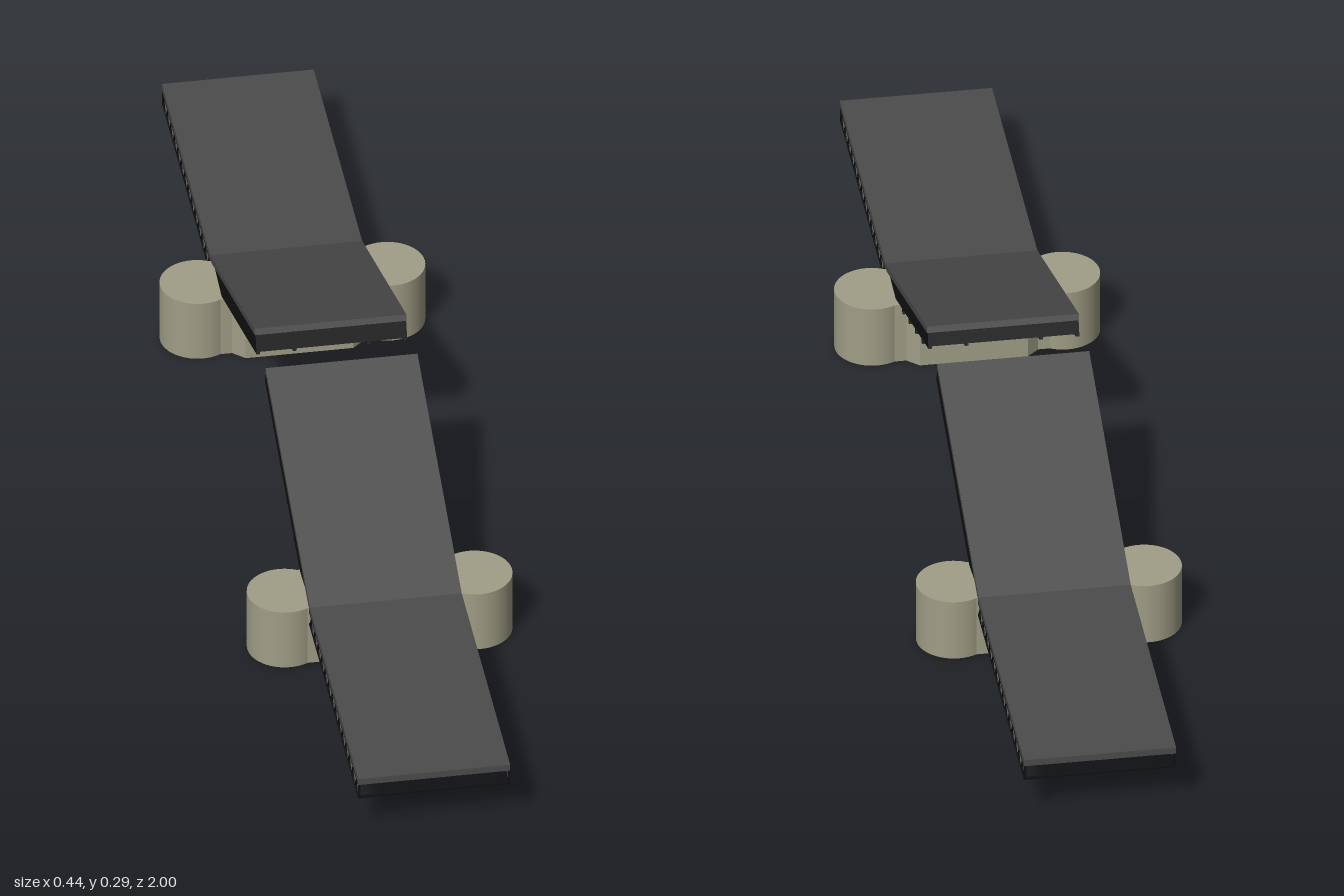
import * as THREE from 'three';

const mat = (color) => new THREE.MeshStandardMaterial({ color });
const stone = mat(0xa09e86), asphalt = mat(0x4c4c4c), steel = mat(0x111111);

const HALF = 0.127;      // half road width
const ROAD_Y = 0.117;    // road surface height
const HINGE_Z = 0.507;
const TILT = THREE.MathUtils.degToRad(20.5);
const LEAF = 0.481;      // length of a raised leaf

function add(parent, name, geometry, material) {
  const mesh = new THREE.Mesh(geometry, material);
  mesh.name = name;
  parent.add(mesh);
  return mesh;
}

function box(parent, name, material, size, pos) {
  const mesh = add(parent, name, new THREE.BoxGeometry(...size), material);
  mesh.position.set(...pos);
  return mesh;
}

// Square bar between two points
function bar(parent, name, a, b, t) {
  const from = new THREE.Vector3(...a), to = new THREE.Vector3(...b);
  const mesh = add(parent, name, new THREE.BoxGeometry(t, t, from.distanceTo(to)), steel);
  mesh.position.copy(from).add(to).multiplyScalar(0.5);
  mesh.lookAt(to);
  return mesh;
}

// Stone pier: stepped middle block between two round ends
function pier() {
  const g = new THREE.Group();
  g.name = 'pier';
  const h = 0.111;
  const half = [[0.135, 0.055], [0.11, 0.055], [0.09, 0.073]];
  const mirrored = half.map(([x, z]) => [-x, z]).reverse();
  const top = [...half, ...mirrored];
  const outline = [...top, ...top.map(([x, z]) => [-x, -z])];
  const shape = new THREE.Shape(outline.map((p) => new THREE.Vector2(...p)));
  const block = new THREE.ExtrudeGeometry(shape, { depth: h, bevelEnabled: false });
  add(g, 'pierBlock', block.rotateX(-Math.PI / 2), stone);
  for (const s of [-1, 1]) {
    const end = add(g, 'pierRoundEnd', new THREE.CylinderGeometry(0.0625, 0.0625, h, 48), stone);
    end.position.set(s * 0.159, h / 2, 0);
  }
  g.position.z = 0.444;
  return g;
}

// Level approach span carried by a lattice truss on each side
function approach() {
  const g = new THREE.Group();
  g.name = 'approachSpan';
  const z0 = 0.5, z1 = 1, low = 0.079, high = 0.104, t = 0.004;
  box(g, 'approachRoad', asphalt, [HALF * 2, 0.012, z1 - z0], [0, ROAD_Y - 0.006, (z0 + z1) / 2]);
  const bays = 14, step = (z1 - z0 - 0.006) / bays;
  for (const s of [-1, 1]) {
    const x = s * (HALF - 0.002);
    bar(g, 'lowerChord', [x, low, z0], [x, low, z1 - 0.002], t);
    bar(g, 'upperChord', [x, high, z0], [x, high, z1 - 0.002], t);
    for (let i = 0; i < bays; i++) {
      const a = z0 + 0.003 + i * step, m = a + step / 2, b = a + step;
      bar(g, 'trussDiagonal', [x, low, a], [x, high, m], 0.0035);
      bar(g, 'trussDiagonal', [x, high, m], [x, low, b], 0.0035);
    }
    box(g, 'endPost', steel, [t, high - low + t, t], [x, (low + high) / 2, z1 - 0.003]);
  }
  box(g, 'endTie', steel, [HALF * 2 - 0.002, t, t], [0, low, z1 - 0.003]);
  return g;
}

// Raised leaf, built along -z from its hinge and then tilted
function leaf(girderDepth, ribDepth) {
  const g = new THREE.Group();
  g.name = 'raisedLeaf';
  box(g, 'leafRoad', asphalt, [HALF * 2, 0.011, LEAF], [0, -0.0055, -LEAF / 2]);

  // Lengthwise girders, tapered at the hinge
  const side = new THREE.Shape([
    [0.035, -0.01], [0.1, -girderDepth], [LEAF, -girderDepth], [LEAF, -0.01],
  ].map((p) => new THREE.Vector2(...p)));
  const w = 0.006;
  for (const x of [-0.123, -0.062, 0.062, 0.123]) {
    const geo = new THREE.ExtrudeGeometry(side, { depth: w, bevelEnabled: false });
    add(g, 'girder', geo.rotateY(Math.PI / 2).translate(x - w / 2, 0, 0), steel);
  }

  // Cross ribs and diagonal bracing between them
  const ribs = [0.1, 0.17, 0.244, 0.319, 0.394, LEAF - 0.004];
  ribs.forEach((s, i) => {
    const inner = i > 0 && i < ribs.length - 1;
    const d = inner ? ribDepth : girderDepth - 0.004;
    box(g, 'crossRib', steel, [HALF * 2 - 0.004, d - 0.01, 0.008], [0, -(d + 0.01) / 2, -s]);
    if (i === 0) return;
    const p = ribs[i - 1], y = -girderDepth + 0.006;
    for (const k of [-1, 1]) {
      bar(g, 'brace', [-0.062 * k, y, -p], [0.062 * k, y, -s], 0.005);
      bar(g, 'brace', [0.123 * k, y, -p], [0.062 * k, y, -s], 0.005);
    }
  });
  g.position.set(0, ROAD_Y, HINGE_Z);
  g.rotation.x = TILT;
  return g;
}

export function createModel() {
  const model = new THREE.Group();
  model.name = 'drawbridge';
  // Two halves facing each other
  for (const front of [true, false]) {
    const half = new THREE.Group();
    half.name = front ? 'frontHalf' : 'backHalf';
    half.add(pier(), approach(), front ? leaf(0.038, 0.048) : leaf(0.044, 0.043));
    if (!front) half.rotation.y = Math.PI;
    model.add(half);
  }
  return model;
}
